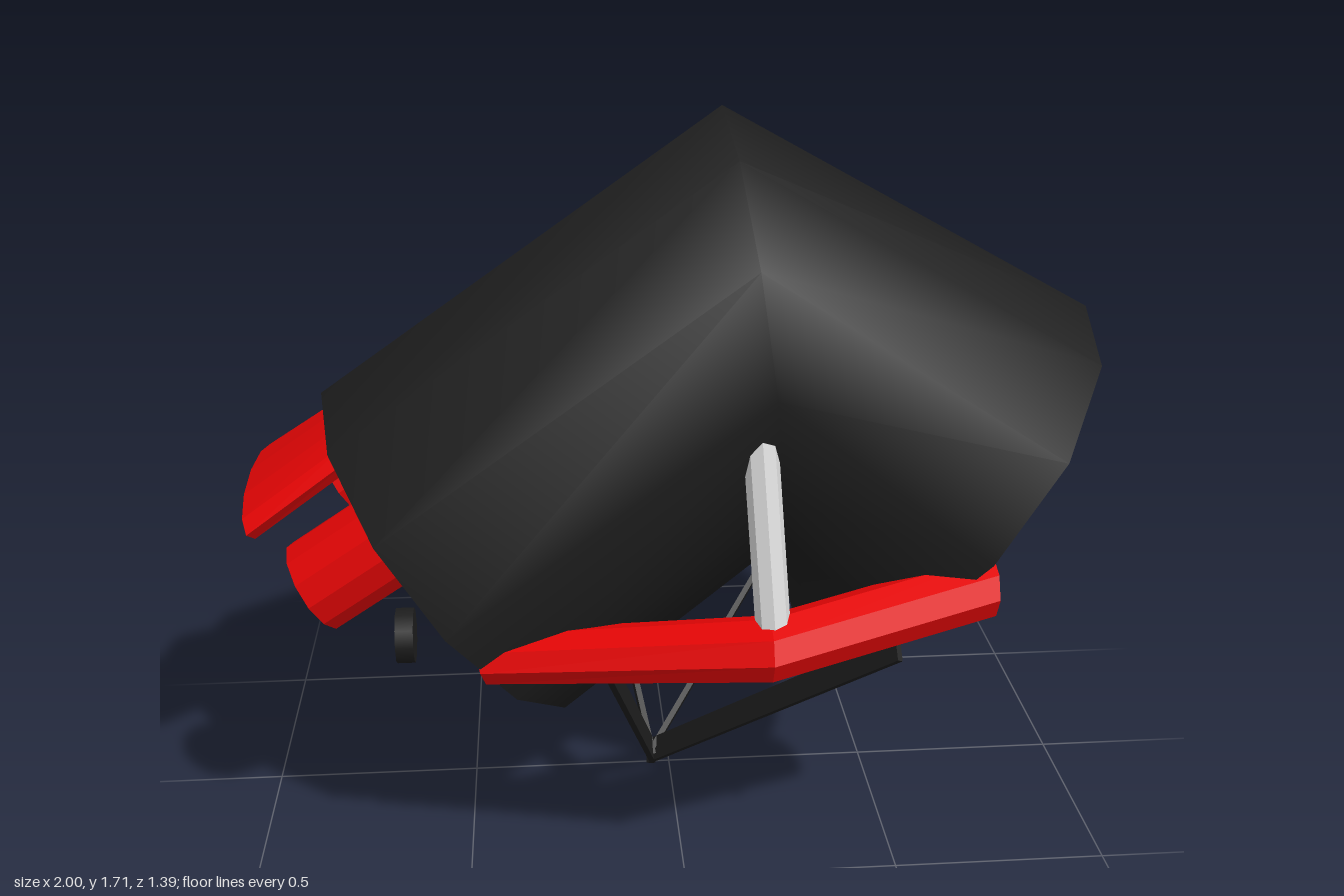
import * as THREE from 'three';

const black = new THREE.MeshStandardMaterial({ color: 0x1d1d1d });
black.name = 'black';
const red = new THREE.MeshStandardMaterial({ color: 0xe60505 });
red.name = 'red';
const silver = new THREE.MeshStandardMaterial({ color: 0xd8d8d8 });
silver.name = 'silver';

// Closed loft through elliptical sections, ordered along +x.
// Each section: [cx, cy, cz, ex, ey, hz] (centre, half axis in the xy plane, half width in z)
function loft(sections, sides, flat) {
  const pos = [], idx = [];
  const ring = ([cx, cy, cz, ex, ey, hz]) => {
    const start = pos.length / 3;
    for (let i = 0; i < sides; i++) {
      const a = (i / sides) * Math.PI * 2;
      pos.push(cx + ex * Math.cos(a), cy + ey * Math.cos(a), cz + hz * Math.sin(a));
    }
    return start;
  };
  const starts = sections.map(ring);
  for (let s = 0; s < starts.length - 1; s++) {
    for (let i = 0; i < sides; i++) {
      const j = (i + 1) % sides, p = starts[s], q = starts[s + 1];
      idx.push(p + i, p + j, q + i, p + j, q + j, q + i);
    }
  }
  // end caps have their own vertices so that their rims stay sharp
  const first = ring(sections[0]), last = ring(sections[sections.length - 1]);
  for (let i = 1; i < sides - 1; i++) {
    idx.push(first, first + i + 1, first + i, last, last + i, last + i + 1);
  }
  let g = new THREE.BufferGeometry();
  g.setAttribute('position', new THREE.Float32BufferAttribute(pos, 3));
  g.setIndex(idx);
  if (flat) g = g.toNonIndexed();
  g.computeVertexNormals();
  return g;
}

export function createModel() {
  const model = new THREE.Group();
  const add = (name, geometry, material) => {
    const m = new THREE.Mesh(geometry, material);
    m.name = name;
    model.add(m);
    return m;
  };

  // Bent main body
  add('body', loft([
    [-0.525, 0.665, 0, -0.295, 0.385, 0.535],
    [0.185, 1.2, 0, -0.065, 0.51, 0.55],
    [0.66, 0.815, 0, 0.34, 0.405, 0.565],
  ], 12), black);

  // Round plate on the +x end
  add('endLens', loft([
    [0.695, 0.89, 0, 0.09, 0.075, 0.17],
    [0.73, 0.845, 0, 0.09, 0.075, 0.17],
  ], 10, true), red);

  // Wide nozzle on the -x end
  add('wideNozzle', loft([
    [-0.975, 0.81, 0, -0.025, 0.05, 0.27],
    [-0.725, 0.98, 0, -0.025, 0.05, 0.228],
  ], 12, true), red);

  // Small loose disc below the nozzles
  const disc = add('disc', new THREE.CylinderGeometry(0.07, 0.07, 0.045, 10), black);
  disc.rotation.z = Math.PI / 2;
  disc.position.set(-0.66, 0.4, 0);

  // Flat bar from the foot to a point, with its local y along the run
  const foot = new THREE.Vector3(-0.045, 0.036, 0);
  const legTo = (name, x, y, z) => {
    const end = new THREE.Vector3(x, y, z);
    const dir = end.clone().sub(foot);
    const length = dir.length();
    dir.normalize();
    const wide = new THREE.Vector3(1, 0, 0).cross(dir).normalize();
    const thin = wide.clone().cross(dir);
    const leg = add(name, new THREE.BoxGeometry(0.06, length + 0.03, 0.014), black);
    leg.quaternion.setFromRotationMatrix(new THREE.Matrix4().makeBasis(wide, dir, thin));
    leg.position.copy(foot).add(end).multiplyScalar(0.5);
  };

  for (const s of [1, -1]) {
    const side = s > 0 ? 'front' : 'back';

    add(side + 'SmallNozzle', loft([
      [-0.825, 0.705, s * 0.32, -0.055, 0.095, 0.115],
      [-0.545, 0.895, s * 0.335, -0.055, 0.095, 0.115],
    ], 12, true), red);

    // Bowed side rail
    add(side + 'Rail', loft([
      [-0.455, 0.565, s * 0.43, -0.015, 0.055, 0.075],
      [0.17, 0.66, s * 0.612, 0, 0.07, 0.083],
      [0.68, 0.732, s * 0.485, 0, 0.07, 0.083],
    ], 8, true), red);

    // Strut from the rail up into the body
    const a = new THREE.Vector3(0.178, 0.68, s * 0.615);
    const b = new THREE.Vector3(0.155, 1.12, s * 0.485);
    const dir = b.clone().sub(a);
    const strut = add(side + 'Strut',
      new THREE.CylinderGeometry(0.038, 0.038, dir.length(), 8).toNonIndexed(), silver);
    strut.geometry.computeVertexNormals();
    strut.quaternion.setFromUnitVectors(new THREE.Vector3(0, 1, 0), dir.normalize());
    strut.position.copy(a).add(b).multiplyScalar(0.5);

    // V-shaped legs meeting at the foot
    legTo(side + 'LegLeft', 0.46, 0.6, s * 0.53);
    legTo(side + 'LegRight', -0.185, 0.61, s * 0.53);
  }
  return model;
}
